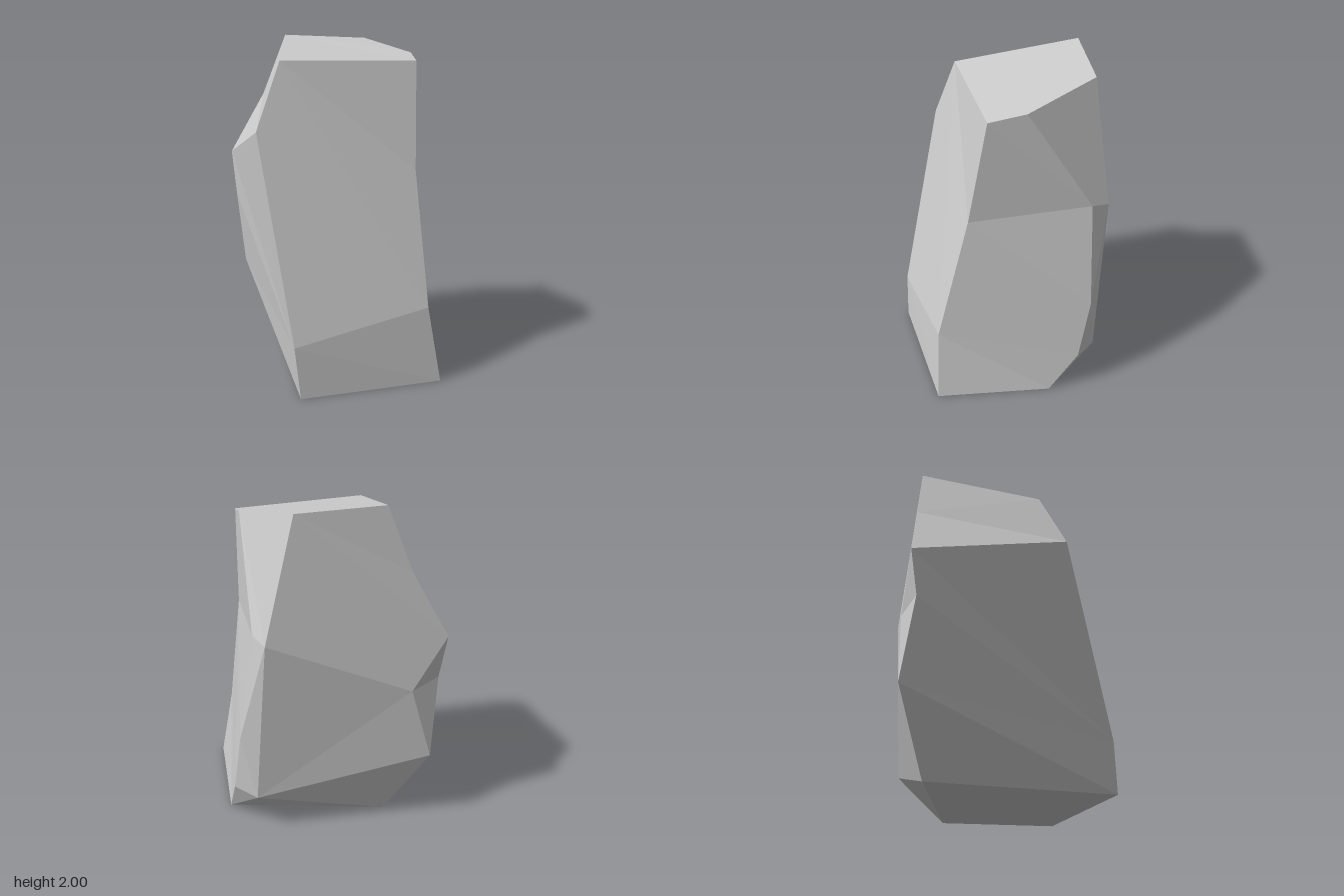
import * as THREE from 'three';

// Corners of the faceted boulder: x, y, z
const corners = {
  // sloping top
  A: [-0.25, 2.0, -0.49], B: [0.26, 1.98, -0.4], C: [0.42, 1.9, 0.05],
  D: [0.38, 1.86, 0.26], E: [-0.43, 1.87, 0.23],
  // front
  I: [-0.59, 1.48, 0.33], J: [0.345, 1.23, 0.375],
  F: [-0.45, 0.3, 0.63], H: [0.36, 0.45, 0.59],
  // +x side ridge
  X: [0.485, 1.29, -0.325], O: [0.575, 0.64, -0.315], U: [0.6, 0.26, -0.24],
  // back
  K: [0.45, 1.26, -0.44], R: [0.5, 0.24, -0.38], L: [-0.39, 1.62, -0.55],
  M: [-0.6, 1.23, -0.63], N: [-0.39, 0.91, -0.62], P: [-0.58, 0.955, -0.585],
  Q: [-0.52, 0.46, -0.65],
  // base
  S: [-0.32, 0, -0.45], T: [0.58, 0, -0.06], V: [0.43, 0, 0.63], G: [-0.42, 0, 0.65],
};

// Facets as corner loops, anticlockwise from outside
const facets = [
  'AEDCB',                                        // top
  'EIFHJD', 'FGVH',                               // front
  'DJXC', 'JOX', 'JHUO', 'HVTU',                  // +x side
  'CXKB', 'ORKX', 'OUR', 'UTR',                   // back corner strip on +x
  'BKNMLA', 'RQNK', 'RTSQ',                       // back
  'MNP', 'NQP',                                   // chipped notch
  'LMIEA', 'FIMPQ', 'QSGF',                       // -x side
  'STVG',                                         // base
];

// Splits every facet into a fan of flat triangles
function facetGeometry() {
  const positions = [];
  for (const loop of facets) {
    for (let i = 1; i < loop.length - 1; i++) {
      for (const key of [loop[0], loop[i], loop[i + 1]]) positions.push(...corners[key]);
    }
  }
  const geometry = new THREE.BufferGeometry();
  geometry.setAttribute('position', new THREE.Float32BufferAttribute(positions, 3));
  geometry.computeVertexNormals();
  return geometry;
}

export function createModel() {
  const group = new THREE.Group();
  group.name = 'boulder';
  const rock = new THREE.Mesh(
    facetGeometry(),
    new THREE.MeshStandardMaterial({ color: 0xcccccc, flatShading: true })
  );
  rock.name = 'rock';
  group.add(rock);
  return group;
}
